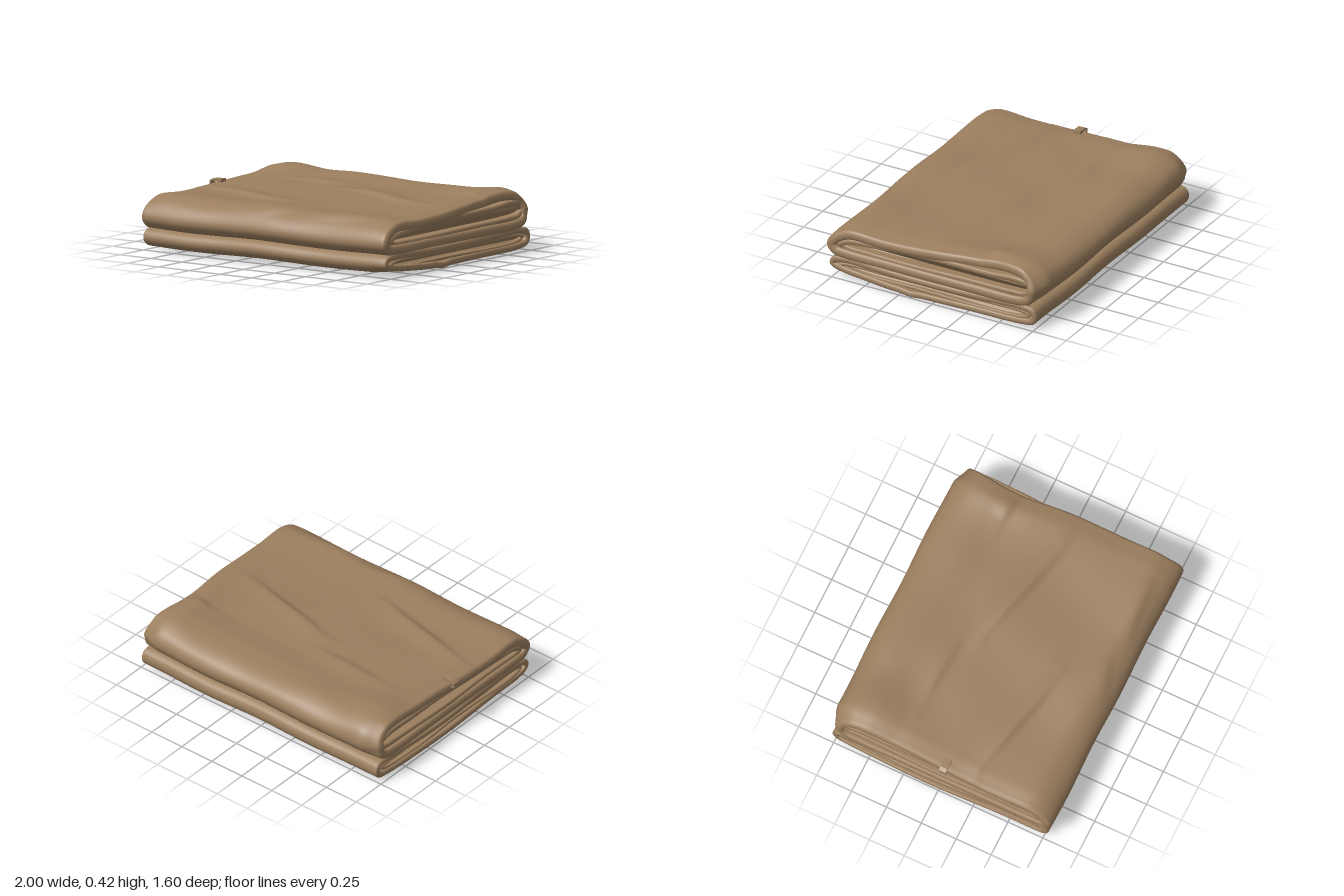
import * as THREE from 'three';

const smooth = THREE.MathUtils.smoothstep;
const bump = (d, w) => Math.exp(-(d * d) / (w * w));

// Soft ridge along a segment on the top face; steeper on the front side
function ridge(x, z, x0, z0, x1, z1, h, w) {
  const dx = x1 - x0, dz = z1 - z0;
  const t = ((x - x0) * dx + (z - z0) * dz) / (dx * dx + dz * dz);
  const c = THREE.MathUtils.clamp(t, 0, 1);
  const pz = z - (z0 + c * dz), px = x - (x0 + c * dx);
  const side = pz > 0 ? w * 0.5 : w * 1.5;
  return h * bump(pz, side) * bump(px, 0.12) * (0.35 + 0.65 * Math.sin(Math.PI * c));
}

// Wrinkles, dents and swells of the top sheet
function topRelief(x, z) {
  return ridge(x, z, -0.02, -0.14, 0.72, 0.05, 0.024, 0.06)
    + ridge(x, z, -0.85, 0.23, -0.08, 0.41, 0.024, 0.06)
    + ridge(x, z, -0.65, -0.3, -0.08, -0.28, 0.02, 0.07)
    + ridge(x, z, 0.3, 0.7, 0.8, 0.66, 0.014, 0.05)
    + ridge(x, z, -0.1, 0.74, 0.2, 0.64, 0.012, 0.05)
    + ridge(x, z, 0.72, -0.38, 0.95, -0.37, 0.014, 0.05)
    + 0.034 * bump(x + 0.78, 0.2) * bump(z + 0.53, 0.27)
    + 0.012 * bump(x + 0.42, 0.18) * bump(z + 0.66, 0.12)
    + 0.03 * bump(x - 0.86, 0.2) * bump(z + 0.52, 0.27)
    + 0.004 * Math.sin(x * 9 + z * 4);
}

// Thick sheet wrapped round a closed [z, y] profile, with rounded side edges
function wrap(profile, thick, halfWidth, nx, relief, edge) {
  const curve = new THREE.CatmullRomCurve3(
    profile.map(([z, y]) => new THREE.Vector3(z, y, 0)), true, 'centripetal');
  const nu = 200, r = thick / 2, round = r * 0.6, flat = halfWidth - round;
  const section = [];
  for (let i = 0; i <= nx; i++) section.push([(i / nx * 2 - 1) * flat, 0]);
  for (let i = 1; i < 6; i++) {
    const a = i / 6 * Math.PI;
    section.push([flat + Math.sin(a) * round, r - Math.cos(a) * r]);
  }
  for (let i = 0; i <= 8; i++) section.push([(1 - i / 4) * flat, thick]);
  for (let i = 5; i > 0; i--) {
    const a = i / 6 * Math.PI;
    section.push([-flat - Math.sin(a) * round, r - Math.cos(a) * r]);
  }
  const nv = section.length, pos = [], index = [];
  for (let u = 0; u < nu; u++) {
    const p = curve.getPointAt(u / nu), t = curve.getTangentAt(u / nu);
    section.forEach(([x, d], v) => {
      const sag = relief ? 0.012 * smooth(Math.abs(x), 0.86, 0.99) * smooth(p.y, 0.25, 0.36) : 0;
      let z = p.x - t.y * (d + sag), y = p.y + t.x * (d + sag);
      const px = x + edge(p.x, p.y, Math.sign(x)) * smooth(Math.abs(x), 0.7, 0.95);
      if (relief) {
        z *= 1 - 0.06 * smooth(Math.abs(x), 0.84, 1) * smooth(-z, 0.6, 0.75) * smooth(p.y, 0.15, 0.25);
        z += 0.004 * Math.sin(x * 8 + 1) * smooth(Math.abs(z), 0.6, 0.8);
        y += relief(x, z, p.y);
      }
      pos.push(px, y, z);
      const a = u * nv + v, b = u * nv + (v + 1) % nv;
      const c = ((u + 1) % nu) * nv + v, e = ((u + 1) % nu) * nv + (v + 1) % nv;
      index.push(a, b, c, b, e, c);
    });
  }
  const g = new THREE.BufferGeometry();
  g.setAttribute('position', new THREE.Float32BufferAttribute(pos, 3));
  g.setIndex(index);
  g.computeVertexNormals();
  return g;
}

// Prism along z from an [x, y] outline
function prism(points, z0, z1) {
  const shape = new THREE.Shape(points.map(([x, y]) => new THREE.Vector2(x, y)));
  return new THREE.ExtrudeGeometry(shape, { depth: z1 - z0, bevelEnabled: false }).translate(0, 0, z0);
}

// Core whose ends recede as a groove; half outline of [x, y] from bottom to top
const grooved = (half, z) => prism(
  [...half, ...half.map(([x, y]) => [-x, y]).reverse()], -z, z);

export function createModel() {
  const group = new THREE.Group();
  const cloth = new THREE.MeshStandardMaterial({ color: 0x9b7e5e });
  cloth.name = 'brown cloth';
  const add = (name, geometry) => {
    const mesh = new THREE.Mesh(geometry, cloth);
    mesh.name = name;
    group.add(mesh);
  };

  // Upper fold: fat outer sheet, higher at the back
  const upperOuter = [[0.798, 0.22], [0.76, 0.303], [0.65, 0.364], [0.4, 0.362], [0.2, 0.366],
    [0, 0.377], [-0.2, 0.381], [-0.35, 0.378], [-0.45, 0.387], [-0.55, 0.395], [-0.68, 0.385],
    [-0.77, 0.34], [-0.798, 0.28], [-0.77, 0.215], [-0.7, 0.165], [-0.62, 0.148], [-0.3, 0.145],
    [0.3, 0.145], [0.65, 0.146], [0.75, 0.16]];
  add('upperOuterFold', wrap(upperOuter, 0.064, 0.99, 90,
    (x, z, y) => topRelief(x, z) * smooth(y, 0.27, 0.36) + 0.004 * Math.sin(x * 6 + 2),
    (z, y, s) => {
      const top = smooth(y, 0.26, 0.36);
      return -s * top * (s > 0 ? 0.01 + 0.045 * bump(z + 0.4, 0.3)
        : 0.008 + 0.022 * bump(z + 0.3, 0.4));
    }));

  // Upper fold: inner layer and its recessed core
  const upperInner = [[0.735, 0.235], [0.67, 0.282], [0.5, 0.305], [0, 0.325], [-0.4, 0.335],
    [-0.6, 0.346], [-0.7, 0.32], [-0.735, 0.27], [-0.68, 0.222], [-0.55, 0.207], [0, 0.2],
    [0.5, 0.195], [0.67, 0.202]];
  const wavy = (z, y, s) => 0.006 * Math.sin(z * 7 + y * 30 + s);
  add('upperInnerFold', wrap(upperInner, 0.036, 0.968, 24, null, wavy));
  add('upperCore', grooved([[0.92, 0.217], [0.9, 0.235], [0.945, 0.285], [0.945, 0.31]], 0.73));

  // Lower fold: flatter outer sheet, lifted at the left end
  const lowerOuter = [[0.78, 0.09], [0.757, 0.135], [0.68, 0.154], [0.3, 0.152], [-0.3, 0.152],
    [-0.68, 0.16], [-0.75, 0.142], [-0.77, 0.09], [-0.745, 0.04], [-0.65, 0.018], [-0.2, 0.013],
    [0.2, 0.012], [0.45, 0.015], [0.68, 0.024], [0.755, 0.048]];
  add('lowerOuterFold', wrap(lowerOuter, 0.042, 0.99, 60,
    (x, z, y) => 0.004 * Math.sin(x * 6 + 2) + smooth(0.1 - y, 0, 0.08) * (
      0.018 * smooth(x, 0.8, 1) * smooth(z, 0.3, 0.7)
      - 0.01 * bump(z - 0.17, 0.06) * smooth(x, 0.8, 1)),
    (z, y, s) => 0.008 * Math.sin(z * 5 + s)));

  // Lower fold: inner layer and its recessed core
  const lowerInner = [[0.73, 0.09], [0.66, 0.114], [0, 0.116], [-0.65, 0.122], [-0.72, 0.1],
    [-0.68, 0.066], [0, 0.055], [0.66, 0.062]];
  add('lowerInnerFold', wrap(lowerInner, 0.02, 0.972, 24, null, wavy));
  add('lowerCore', grooved([[0.95, 0.066], [0.93, 0.082], [0.955, 0.105], [0.955, 0.11]], 0.73));

  // Small folded tab hooked over the right edge
  add('edgeTab', prism([[-0.9, 0.39], [-0.97, 0.388], [-0.994, 0.374], [-0.998, 0.344],
    [-0.95, 0.332], [-0.95, 0.342], [-0.986, 0.352], [-0.984, 0.368], [-0.97, 0.376],
    [-0.9, 0.365]], 0, 0.05));

  return group;
}
